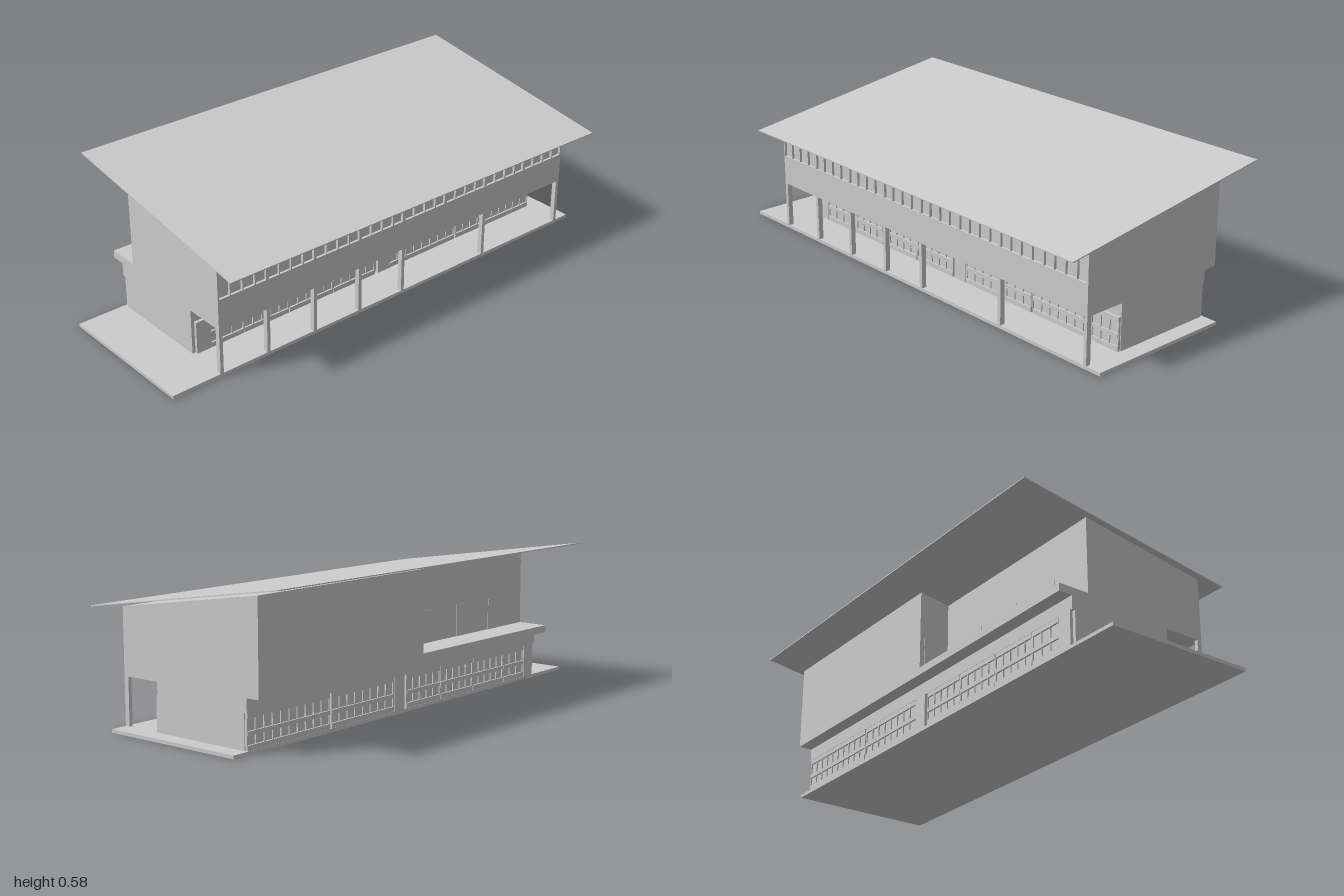
import * as THREE from 'three';

const grey = new THREE.MeshStandardMaterial({ color: 0xcccccc, flatShading: true });

// Box given by its limits on each axis
function box(parent, name, x0, x1, y0, y1, z0, z1) {
  const mesh = new THREE.Mesh(new THREE.BoxGeometry(x1 - x0, y1 - y0, z1 - z0), grey);
  mesh.position.set((x0 + x1) / 2, (y0 + y1) / 2, (z0 + z1) / 2);
  mesh.name = name;
  parent.add(mesh);
  return mesh;
}

const BACK = -0.935, FRONT = 0.797, FLOOR = 0.013, SOFFIT = 0.195;
const wallTop = x => 0.543 - (x + 0.31) * 0.15; // top of walls follows the roof pitch

// Upper storey block with a sloping top, from x0 to x1
function slopedBlock(parent, name, x0, x1, z0, z1) {
  const s = new THREE.Shape([
    new THREE.Vector2(x0, SOFFIT), new THREE.Vector2(x1, SOFFIT),
    new THREE.Vector2(x1, wallTop(x1)), new THREE.Vector2(x0, wallTop(x0)),
  ]);
  const mesh = new THREE.Mesh(new THREE.ExtrudeGeometry(s, { depth: z1 - z0, bevelEnabled: false }), grey);
  mesh.position.z = z0;
  mesh.name = name;
  parent.add(mesh);
}

// Ground floor glazing on one long side; wall is the wall plane, dir points outward
function groundGlazing(wall, dir) {
  const g = new THREE.Group();
  g.name = dir > 0 ? 'leftGroundGlazing' : 'rightGroundGlazing';
  const strip = (name, d, y0, y1, z0, z1) =>
    box(g, name, Math.min(wall, wall + dir * d), Math.max(wall, wall + dir * d), y0, y1, z0, z1);
  const runs = [[0.575, 0.72], [0.362, 0.57], [0.147, 0.357], [-0.068, 0.142], [-0.5, -0.147], [-0.93, -0.51]];
  for (const [z0, z1] of runs) {
    strip('windowPanes', 0.004, FLOOR, 0.143, z0, z1);
    // Sill, transom and head rails
    for (const [y0, y1] of [[FLOOR, 0.032], [0.065, 0.08], [0.125, 0.143]]) {
      strip('windowRail', 0.011, y0, y1, z0, z1);
    }
    const n = Math.round((z1 - z0) / 0.042);
    for (let i = 0; i <= n; i++) {
      const z = z0 + (z1 - z0) * i / n;
      strip('windowMullion', 0.009, FLOOR, 0.143, z - 0.002, z + 0.002);
    }
  }
  for (const z of [0.722, -0.145]) strip('door', 0.012, FLOOR, 0.143, z, z + 0.062);
  return g;
}

export function createModel() {
  const model = new THREE.Group();
  model.name = 'building';

  box(model, 'groundSlab', -0.255, 0.343, 0, FLOOR, -1, 1);

  // Ground floor
  box(model, 'groundFloor', -0.243, 0.175, FLOOR, SOFFIT, BACK, FRONT);
  box(model, 'lintel', -0.255, -0.243, 0.143, SOFFIT, BACK, FRONT);
  model.add(groundGlazing(0.175, 1), groundGlazing(-0.243, -1));

  // Upper floor, set back behind the balcony at the front
  slopedBlock(model, 'upperFloorBack', -0.31, 0.333, BACK, -0.04);
  slopedBlock(model, 'upperFloorFront', -0.183, 0.333, -0.04, FRONT);
  box(model, 'balconySlab', -0.31, -0.183, SOFFIT, 0.225, -0.04, FRONT);
  box(model, 'balconyEndDoor', -0.291, -0.239, 0.225, 0.352, -0.04, -0.037);
  for (const z of [0.12, 0.34, 0.56]) {
    box(model, 'balconyDoor', -0.185, -0.183, 0.225, 0.352, z, z + 0.06);
  }

  // Long upper wall with a band of recessed windows
  box(model, 'upperWallBase', 0.333, 0.343, SOFFIT, 0.315, BACK, FRONT);
  box(model, 'upperWallHead', 0.333, 0.343, 0.405, wallTop(0.343), BACK, FRONT);
  const bays = 8, panes = 4, bay = (FRONT - BACK) / bays;
  for (let i = 0; i <= bays * panes; i++) {
    const z = BACK + i * bay / panes;
    const w = i % panes === 0 ? 0.006 : 0.002;
    box(model, 'upperMullion', 0.333, 0.343, 0.315, 0.405,
      Math.max(z - w, BACK), Math.min(z + w, FRONT));
  }

  // Columns along the open walkway
  for (const i of [0, 2, 4, 5, 6, 7, 8]) {
    const z = THREE.MathUtils.clamp(BACK + i * bay, BACK + 0.007, FRONT - 0.007);
    box(model, 'column', 0.323, 0.343, FLOOR, SOFFIT, z - 0.007, z + 0.007);
  }

  // Thin pitched roof floating above the walls
  const pitch = Math.atan2(0.137, 0.912);
  const roof = new THREE.Mesh(new THREE.BoxGeometry(0.922, 0.004, 1.795), grey);
  roof.position.set(-0.001, 0.5085, -0.084);
  roof.rotation.set(0, -0.008, -pitch, 'YZX');
  roof.name = 'roof';
  model.add(roof);

  return model;
}
